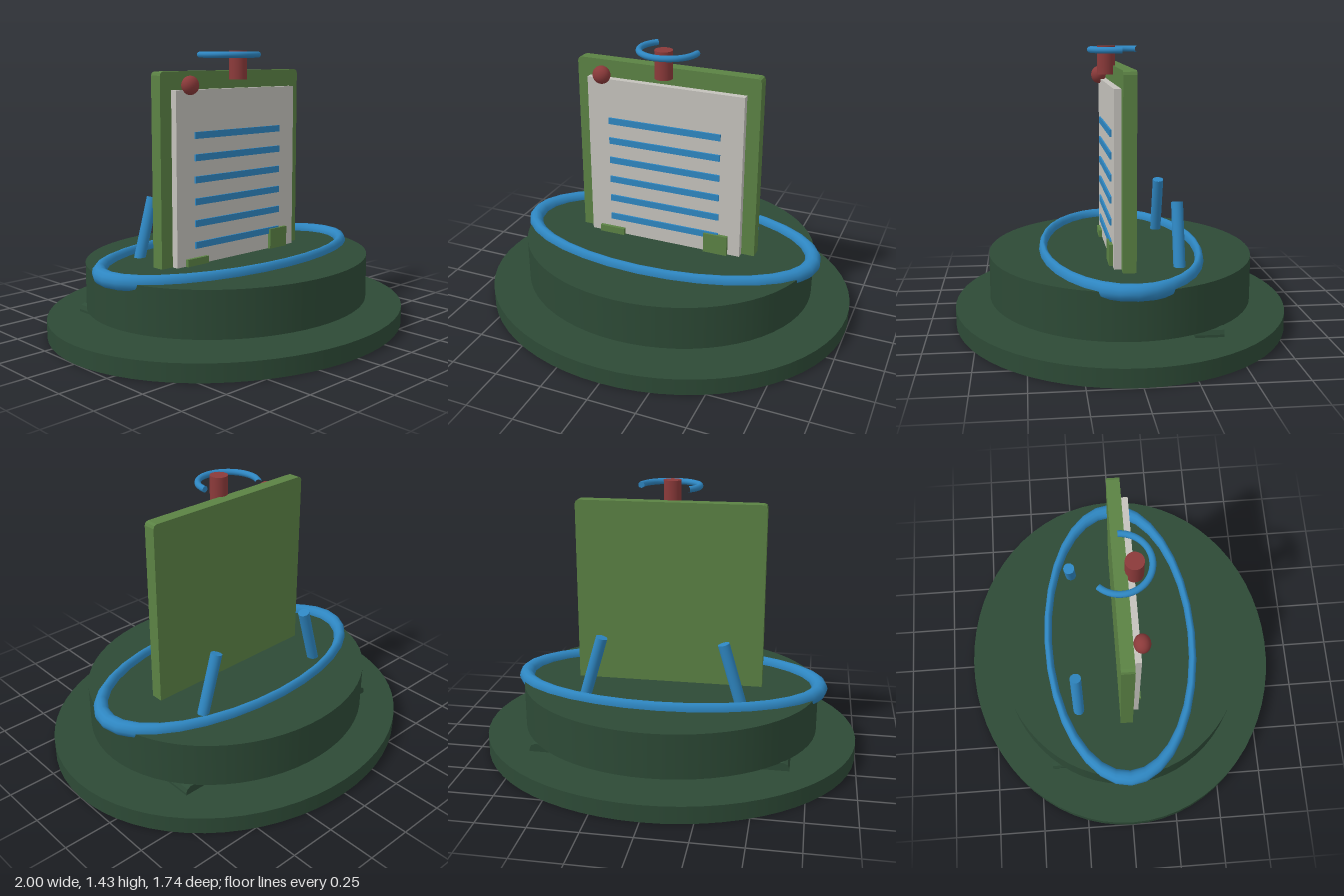
import * as THREE from 'three';

const material = (name, color) => Object.assign(new THREE.MeshStandardMaterial({ color }), { name });

export function createModel() {
  const model = new THREE.Group();
  const darkGreen = material('dark green', 0x2d4a36);
  const leafGreen = material('leaf green', 0x5b8244);
  const blue = material('blue', 0x2e86c1);
  const red = material('dark red', 0x8b3a3a);
  const paper = material('paper grey', 0xc4c2bc);

  const add = (name, geometry, mat, x = 0, y = 0, z = 0) => {
    const mesh = new THREE.Mesh(geometry, mat);
    mesh.name = name;
    mesh.position.set(x, y, z);
    model.add(mesh);
    return mesh;
  };
  // Box given by its lower and upper limits
  const addBox = (name, mat, [x0, x1], [y0, y1], [z0, z1]) =>
    add(name, new THREE.BoxGeometry(x1 - x0, y1 - y0, z1 - z0), mat,
      (x0 + x1) / 2, (y0 + y1) / 2, (z0 + z1) / 2);
  // Plate with clipped upper corners, extruded along z
  const addPlate = (name, mat, [x0, x1], [y0, y1], [z0, z1], cut) => {
    const shape = new THREE.Shape([
      [x0, y0], [x1, y0], [x1, y1 - cut], [x1 - cut * 0.3, y1 - cut * 0.3], [x1 - cut, y1],
      [x0 + cut, y1], [x0 + cut * 0.3, y1 - cut * 0.3], [x0, y1 - cut],
    ].map(([x, y]) => new THREE.Vector2(x, y)));
    return add(name, new THREE.ExtrudeGeometry(shape, { depth: z1 - z0, bevelEnabled: false }), mat, 0, 0, z0);
  };

  // Oval base and the drum floating just above it
  const oval = (name, rx, rz, y0, y1) =>
    add(name, new THREE.CylinderGeometry(rx, rx, y1 - y0, 64), darkGreen, 0, (y0 + y1) / 2, 0)
      .scale.set(1, 1, rz / rx);
  oval('base', 1, 0.87, 0, 0.09);
  oval('drum', 0.79, 0.69, 0.13, 0.365);

  // Oval ring set into the top of the drum
  const ring = new THREE.TorusGeometry(0.798, 0.041, 12, 32).rotateX(Math.PI / 2).scale(1, 1, 0.51);
  add('ring', ring, blue, 0, 0.365, 0);

  // Board with sheet and ruled lines
  addPlate('board', leafGreen, [-0.495, 0.495], [0.35, 1.335], [-0.032, 0.034], 0.02);
  addBox('sheet', paper, [-0.425, 0.425], [0.355, 1.245], [0.034, 0.07]);
  for (let i = 0; i < 6; i++) {
    const y = 1.02 - i * 0.111;
    addBox('ruledLine', blue, [-0.307, 0.307], [y - 0.017, y + 0.017], [0.07, 0.079]);
  }

  // Tabs holding the lower edge of the sheet
  addBox('leftTab', leafGreen, [0.23, 0.36], [0.355, 0.474], [0.068, 0.088]);
  addBox('rightTab', leafGreen, [-0.37, -0.23], [0.355, 0.402], [0.068, 0.088]);

  // Pin ball, post and open hook at the top
  add('pinBall', new THREE.SphereGeometry(0.047, 24, 16), red, -0.34, 1.267, 0.078).scale.z = 0.87;
  add('post', new THREE.CylinderGeometry(0.046, 0.046, 0.145, 32), red, 0, 1.362, 0.068);
  const hook = new THREE.TorusGeometry(0.15, 0.016, 12, 32, Math.PI * 1.25).rotateX(Math.PI / 2);
  add('hook', hook, blue, 0, 1.415, 0);
  for (const a of [0, Math.PI * 1.25]) {
    const cap = new THREE.CircleGeometry(0.016, 12);
    if (a > 0) cap.rotateY(Math.PI);
    add('hookEnd', cap, blue, 0.15 * Math.cos(a), 1.415, 0.15 * Math.sin(a)).rotation.y =
      a > 0 ? -a : Math.PI;
  }

  // Leaning back struts and the feet below the drum
  for (const side of [-1, 1]) {
    const top = new THREE.Vector3(0.312 * side, 0.673, -0.257);
    const bottom = new THREE.Vector3(0.475 * side, 0.115, -0.257);
    const along = top.clone().sub(bottom);
    const middle = top.clone().add(bottom).multiplyScalar(0.5);
    const strut = add('strut', new THREE.CylinderGeometry(0.03, 0.03, along.length(), 24), blue, ...middle.toArray());
    strut.quaternion.setFromUnitVectors(new THREE.Vector3(0, 1, 0), along.normalize());
    addPlate('foot', darkGreen, side < 0 ? [-0.667, -0.363] : [0.363, 0.667], [0.085, 0.132], [-0.43, -0.29], 0.03);
  }

  return model;
}
